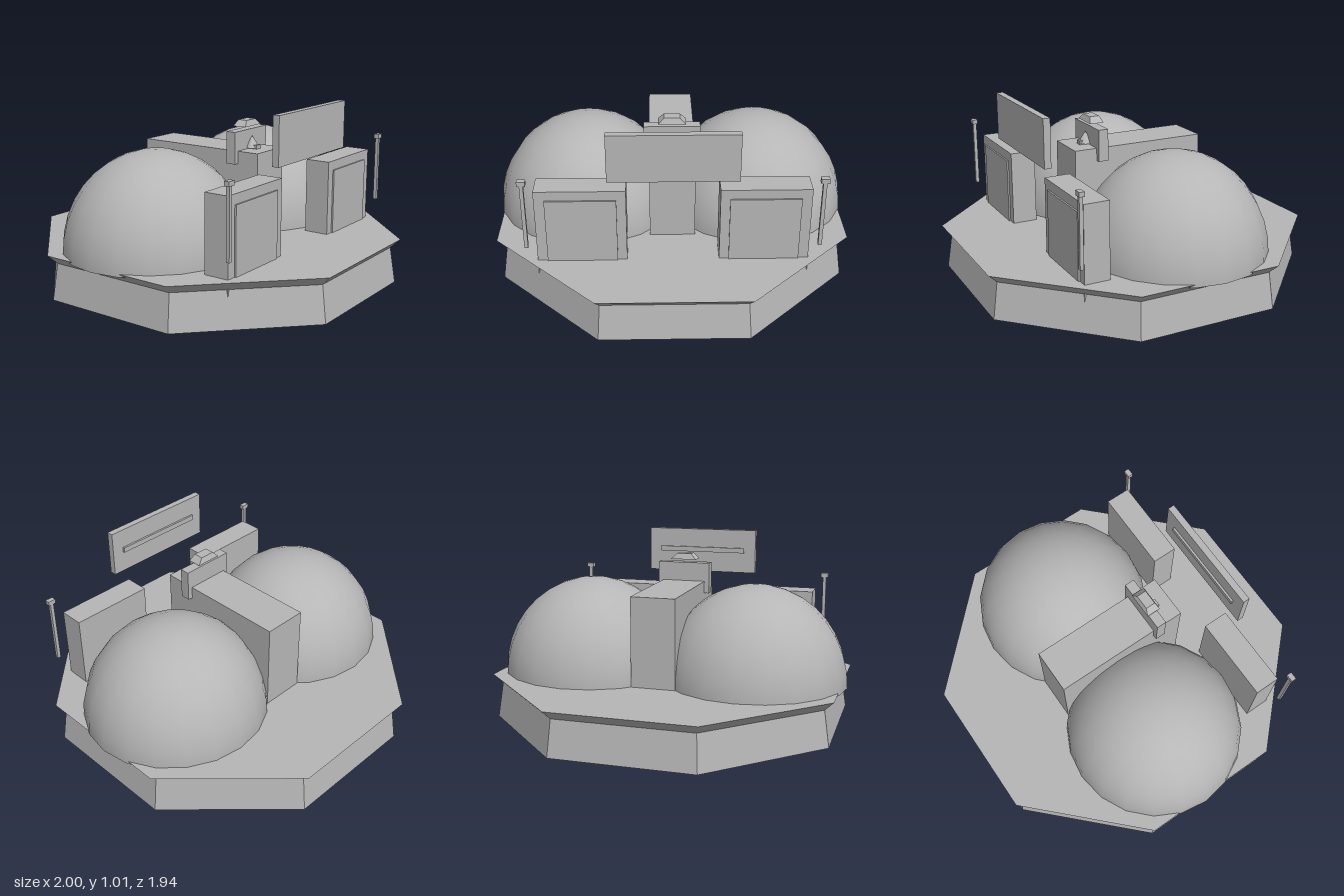
import * as THREE from 'three';

const grey = new THREE.MeshStandardMaterial({ color: 0xb6b6b6, side: THREE.DoubleSide });

export function createModel() {
  const model = new THREE.Group();

  const add = (name, geometry) => {
    const mesh = new THREE.Mesh(geometry, grey);
    mesh.name = name;
    model.add(mesh);
    return mesh;
  };

  // Box given by its extents; open boxes lose their bottom face
  const box = (name, x0, x1, y0, y1, z0, z1, open = false) => {
    const g = new THREE.BoxGeometry(x1 - x0, y1 - y0, z1 - z0);
    if (open) {
      const index = Array.from(g.index.array);
      index.splice(18, 6);
      g.setIndex(index);
      g.clearGroups();
    }
    g.translate((x0 + x1) / 2, (y0 + y1) / 2, (z0 + z1) / 2);
    return add(name, g);
  };

  // Octagonal base: hollow skirt, flared rim and flat deck
  const corner = 1 / Math.cos(Math.PI / 8);
  const profile = [[0.95, 0], [0.92, 0.2], [0.97, 0.25], [0, 0.25]]
    .map(([r, y]) => new THREE.Vector2(r * corner, y));
  const base = new THREE.LatheGeometry(profile, 8, Math.PI / 8).toNonIndexed();
  base.computeVertexNormals();
  add('base', base);

  // Spine between the domes
  box('spine', -0.125, 0.125, 0.14, 0.75, -0.427, 0.356, true);

  // Paired parts on both sides
  for (const [side, s] of [['left', 1], ['right', -1]]) {
    const span = (name, a, b, ...rest) =>
      box(side + name, Math.min(a * s, b * s), Math.max(a * s, b * s), ...rest);

    const dome = add(side + 'Dome',
      new THREE.SphereGeometry(1, 20, 9, 0, Math.PI * 2, 0, Math.PI / 2));
    dome.scale.set(0.52, 0.55, 0.51);
    dome.position.set(0.48 * s, 0.235, -0.06);

    span('Gatehouse', 0.245, 0.722, 0.12, 0.67, 0.446, 0.588, true);
    span('DoorPanel', 0.295, 0.668, 0.25, 0.617, 0.588, 0.597);

    // Lamp post with a small head
    span('Post', 0.76, 0.78, 0.36, 0.735, 0.616, 0.636);
    span('PostHead', 0.748, 0.792, 0.735, 0.76, 0.612, 0.641);
  }

  // Sign board with a rail on its back
  box('signBoard', -0.34, 0.34, 0.745, 1.01, 0.588, 0.626);
  box('signRail', -0.27, 0.27, 0.868, 0.898, 0.576, 0.588);

  // Saddle straddling the spine
  box('saddle', -0.153, 0.153, 0.68, 0.858, 0.17, 0.227);

  // Tapered cap above the saddle
  const cap = new THREE.BoxGeometry(0.15, 0.033, 0.08);
  const p = cap.attributes.position;
  for (let i = 0; i < p.count; i++) {
    if (p.getY(i) > 0) p.setXYZ(i, p.getX(i) * 0.57, p.getY(i), p.getZ(i) * 0.7);
  }
  const capFlat = cap.toNonIndexed();
  capFlat.computeVertexNormals();
  add('cap', capFlat).position.set(0, 0.893, 0.2);

  // Small spotlight in front of the saddle
  const cone = new THREE.ConeGeometry(0.042, 0.065, 10);
  add('spotlight', cone).position.set(0, 0.787, 0.237);
  box('spotlightFoot', -0.02, 0.02, 0.75, 0.772, 0.227, 0.28);

  return model;
}
